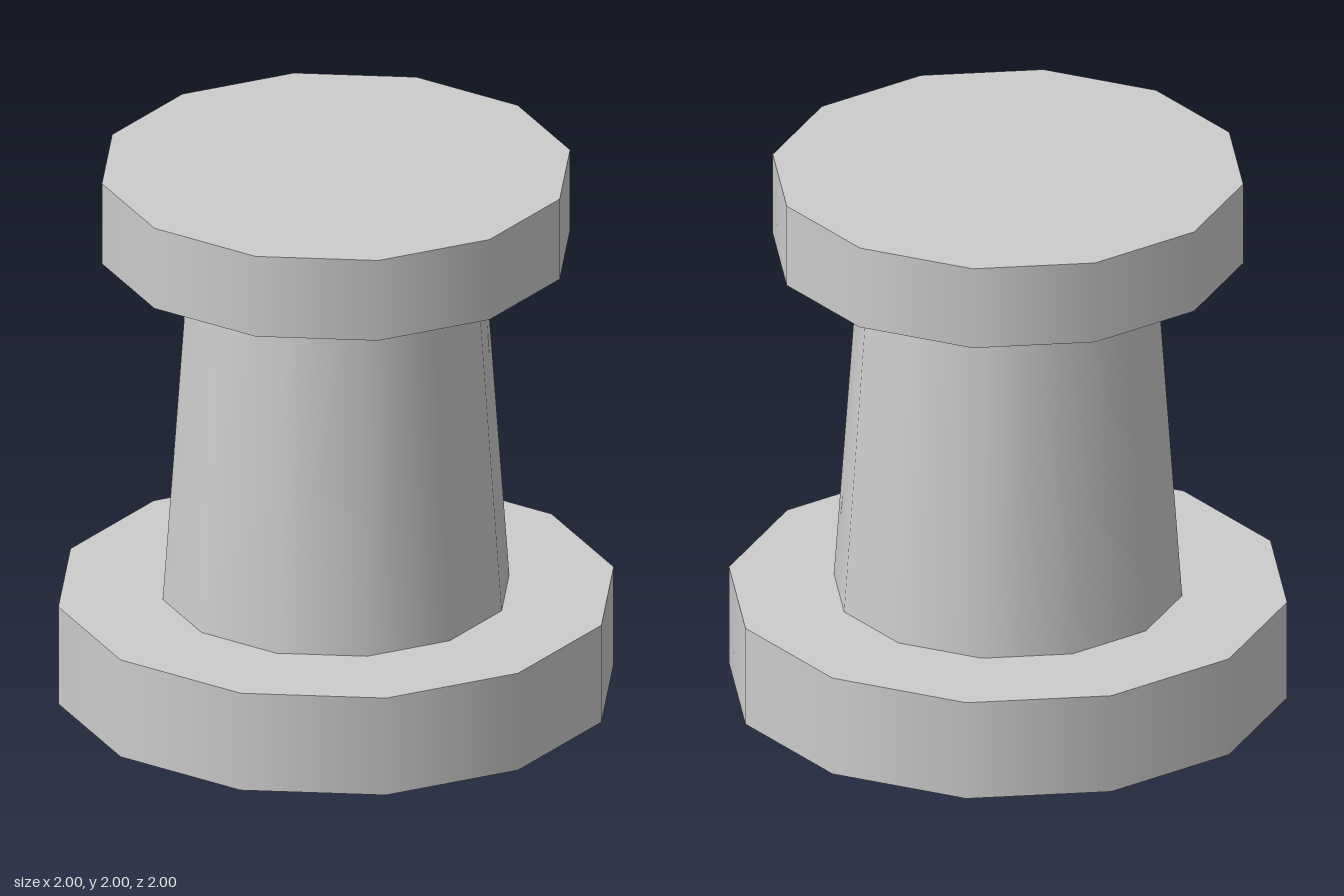
import * as THREE from 'three';

const SIDES = 12;

export function createModel() {
  const model = new THREE.Group();
  model.name = 'bollard';
  const grey = new THREE.MeshStandardMaterial({ color: 0xcccccc });
  grey.name = 'light grey';

  // One twelve-sided drum between two heights, smooth round the side
  function drum(name, bottomRadius, topRadius, y0, y1) {
    const geometry = new THREE.CylinderGeometry(topRadius, bottomRadius, y1 - y0, SIDES);
    const mesh = new THREE.Mesh(geometry, grey);
    mesh.name = name;
    mesh.position.y = (y0 + y1) / 2;
    model.add(mesh);
  }

  drum('base', 1, 1, 0, 0.375);
  drum('taperedPost', 0.624, 0.53, 0.375, 1.69);
  drum('cap', 0.843, 0.843, 1.69, 2);

  return model;
}
